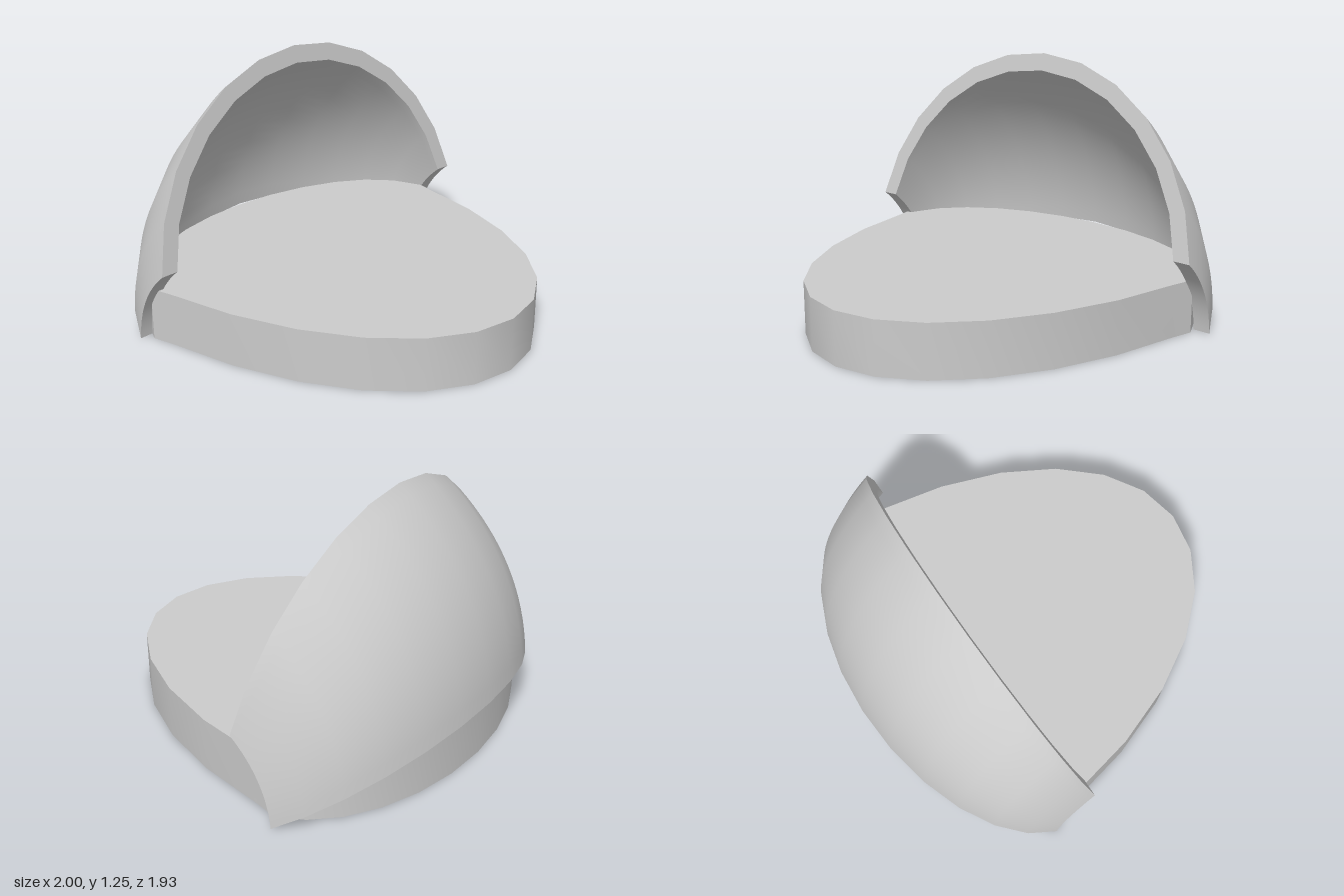
import * as THREE from 'three';
import { toCreasedNormals } from 'three/addons/utils/BufferGeometryUtils.js';

const rad = THREE.MathUtils.degToRad;
const END = rad(81);                       // angular half-span of the hood
const COLS = 12, ROWS = 16;

// 1 at the middle of the hood, 0 at its two ends
const rise = (a) => (Math.cos(a) - Math.cos(END)) / (1 - Math.cos(END));
const across = (a) => Math.sin(a) / Math.sin(END);
const material = () => new THREE.MeshStandardMaterial({ color: 0xcccccc });

// Side arcs (z, y) of the hood: small one at the ends, large one at the middle
const endArc = [[-0.267, 0.39], [-0.455, 0.236], [-0.475, 0]];
const midArc = [[-0.447, 1.245], [-0.907, 0.88], [-0.966, 0.297]];

function arcPoints(x, f) {
  const [a, b, c] = endArc.map(([z, y], i) => new THREE.Vector3(
    x, THREE.MathUtils.lerp(y, midArc[i][1], f), THREE.MathUtils.lerp(z, midArc[i][0], f)));
  return new THREE.QuadraticBezierCurve3(a, b, c).getPoints(ROWS);
}

// Thick hood: closed outer + inner cross-section swept from side to side
function hoodGeometry() {
  const ring = 2 * (ROWS + 1);
  const positions = [], index = [];
  for (let j = 0; j <= COLS; j++) {
    const a = THREE.MathUtils.lerp(-END, END, j / COLS);
    const outer = arcPoints(across(a), rise(a));
    const inner = arcPoints(across(a) * 0.915, rise(a) * 0.9).reverse();
    for (const p of [...outer, ...inner]) positions.push(p.x, p.y, p.z);
  }
  const quad = (a, b, c, d) => index.push(a, b, d, b, c, d);
  for (let j = 0; j < COLS; j++) {
    for (let k = 0; k < ring; k++) {
      const n = (k + 1) % ring, p = j * ring, q = p + ring;
      quad(p + k, q + k, q + n, p + n);
    }
  }
  // curved notch faces at the two ends
  const last = COLS * ring;
  for (let i = 0; i < ROWS; i++) {
    const o = i, o2 = i + 1, n = ring - 1 - i, n2 = n - 1;
    quad(last + o, last + n, last + n2, last + o2);
    quad(o, o2, n2, n);
  }
  const g = new THREE.BufferGeometry();
  g.setAttribute('position', new THREE.Float32BufferAttribute(positions, 3));
  g.setIndex(index);
  return toCreasedNormals(g, 0.6);
}

// Slab: long elliptical nose in front, shallow arc at the back
function slabGeometry() {
  const pts = [];
  const corner = [0.94, -0.43];
  pts.push(new THREE.Vector2(corner[0], -corner[1]));
  for (let k = 0; k <= COLS; k++) {
    if (k === 0) continue;
    const a = THREE.MathUtils.lerp(END, -END, k / COLS);
    pts.push(new THREE.Vector2(corner[0] * across(a), 0.43 + 0.487 * rise(a)));
  }
  for (let k = -6; k <= 6; k++) {
    const a = k * Math.PI / 14;
    pts.push(new THREE.Vector2(0.935 * Math.sin(a), 0.68 - 1.64 * Math.cos(a)));
  }
  const g = new THREE.ExtrudeGeometry(new THREE.Shape(pts), { depth: 0.262, bevelEnabled: false });
  g.rotateX(-Math.PI / 2);
  g.translate(-0.015, 0, 0);
  return toCreasedNormals(g, 0.4);
}

export function createModel() {
  const group = new THREE.Group();
  const add = (name, geometry) => {
    const mesh = new THREE.Mesh(geometry, material());
    mesh.name = name;
    group.add(mesh);
  };
  add('baseSlab', slabGeometry());
  add('hood', hoodGeometry());
  return group;
}
